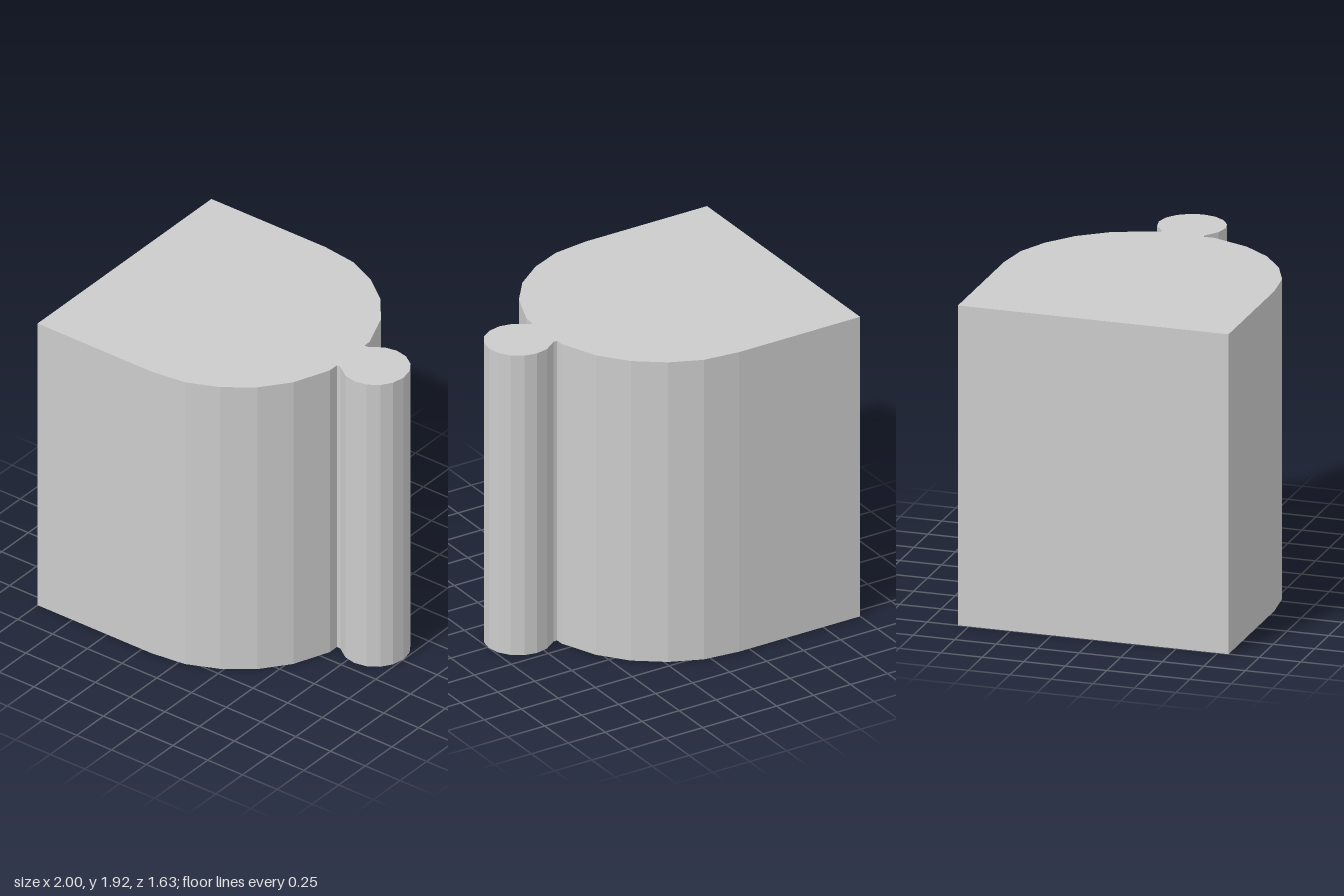
import * as THREE from 'three';

const HEIGHT = 1.925;
const KNOB = { x: 0.8, y: 0.01, radius: 0.2 };

export function createModel() {
  const group = new THREE.Group();
  group.name = 'roundedBlockWithKnob';

  // One half of the body outline, from the flat end to the neck: [x, half width]
  const half = [
    [-1, 0.815], [-0.18, 0.815], [0.04, 0.788], [0.23, 0.705],
    [0.4, 0.577], [0.53, 0.41], [0.62, 0.186],
  ];
  // Narrow neck joining body and knob, centred on the knob
  const neck = [[0.62, 0.13], [0.645, 0.13]];

  const outline = [
    ...half.map(([x, w]) => new THREE.Vector2(x, -w)),
    ...neck.map(([x, w]) => new THREE.Vector2(x, KNOB.y - w)),
  ];
  // Round knob: the open part of a 16-sided circle
  for (let i = -5; i <= 5; i++) {
    const a = (i * Math.PI) / 8;
    outline.push(new THREE.Vector2(
      KNOB.x + KNOB.radius * Math.cos(a),
      KNOB.y + KNOB.radius * Math.sin(a),
    ));
  }
  // Mirrored return along the other side
  outline.push(
    ...neck.map(([x, w]) => new THREE.Vector2(x, KNOB.y + w)).reverse(),
    ...half.map(([x, w]) => new THREE.Vector2(x, w)).reverse(),
  );

  // Extrude the outline straight up
  const geometry = new THREE.ExtrudeGeometry(new THREE.Shape(outline), {
    depth: HEIGHT, bevelEnabled: false,
  });
  geometry.rotateX(-Math.PI / 2);

  const block = new THREE.Mesh(
    geometry,
    new THREE.MeshStandardMaterial({ color: 0xcccccc, flatShading: true }),
  );
  block.name = 'blockWithKnob';
  group.add(block);
  return group;
}
